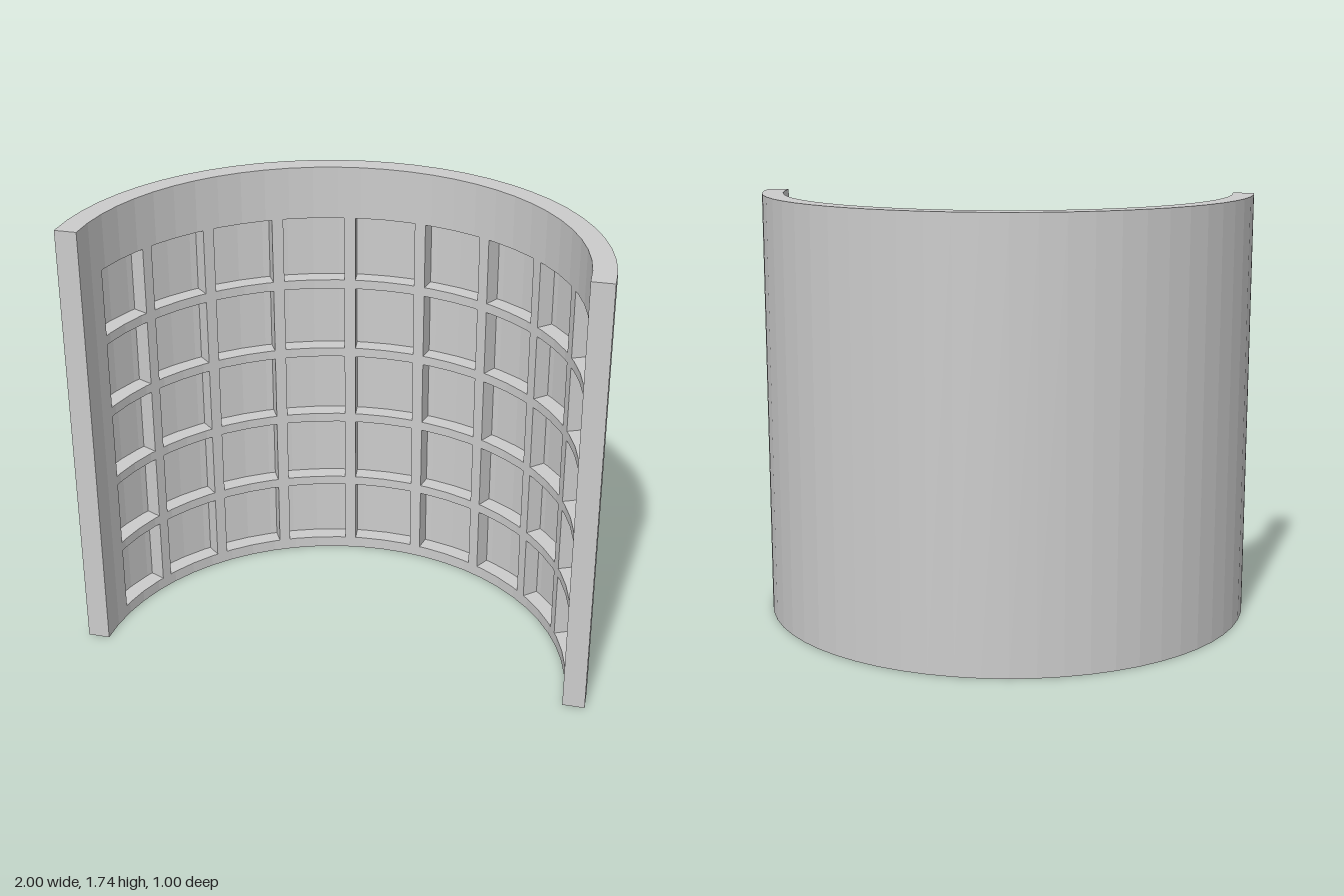
import * as THREE from 'three';

const OUTER = 1, INNER = 0.915, FLOOR = 0.981, HEIGHT = 1.74;
const STEP = 6;                                   // degrees per facet
const PITCH = 18, HALF = 7.6;                     // pocket columns, degrees
const ROW_START = 0.047, ROW_PITCH = 0.304, ROW_HEIGHT = 0.266;
const rad = THREE.MathUtils.degToRad;

// Point on the faceted half ring; angle 0 is the middle of the back, +90 the +x end
function point(r, angle, y) {
  const i = Math.min(Math.floor((angle + 90) / STEP), 180 / STEP - 1);
  const middle = -90 + (i + 0.5) * STEP;
  const d = r * Math.cos(rad(STEP / 2)) / Math.cos(rad(angle - middle));
  return [d * Math.sin(rad(angle)), y, 0.5 - d * Math.cos(rad(angle))];
}

// Collects quads whose corners are [radius, angle, y], counter-clockwise from outside
function part(name, material, fill) {
  const positions = [];
  fill((corners, reverse = false) => {
    const p = corners.map((c) => point(...c));
    if (reverse) p.reverse();
    for (const k of [0, 1, 2, 0, 2, 3]) positions.push(...p[k]);
  });
  const geometry = new THREE.BufferGeometry();
  geometry.setAttribute('position', new THREE.Float32BufferAttribute(positions, 3));
  geometry.computeVertexNormals();
  const mesh = new THREE.Mesh(geometry, material);
  mesh.name = name;
  return mesh;
}

// Quad builders: upright along the arc, level across the thickness, radial
const arcQuad = (r, a0, a1, y0, y1) => [[r, a0, y0], [r, a1, y0], [r, a1, y1], [r, a0, y1]];
const levelQuad = (r0, r1, a0, a1, y) => [[r0, a0, y], [r0, a1, y], [r1, a1, y], [r1, a0, y]];
const radialQuad = (r0, r1, a, y0, y1) => [[r0, a, y0], [r1, a, y0], [r1, a, y1], [r0, a, y1]];

export function createModel() {
  const group = new THREE.Group();
  group.name = 'cofferedNiche';
  const material = new THREE.MeshStandardMaterial({ color: 0xcccccc, flatShading: true });

  const columns = [];
  for (let c = -4; c <= 4; c++) columns.push([c * PITCH - HALF, c * PITCH + HALF]);
  const rows = [];
  for (let r = 0; r < 5; r++) {
    const y = ROW_START + r * ROW_PITCH;
    rows.push([y, y + ROW_HEIGHT]);
  }

  // Grid lines: facet edges plus pocket edges
  const facets = [];
  for (let a = -90; a <= 90; a += STEP) facets.push(a);
  const angles = [...facets, ...columns.flat()].sort((a, b) => a - b);
  const heights = [0, ...rows.flat(), HEIGHT];
  const inside = (list, v) => list.some(([lo, hi]) => v > lo && v < hi);

  // Lattice face and sunken pocket floors
  const eachCell = (wanted, visit) => {
    for (let i = 0; i < angles.length - 1; i++) {
      for (let j = 0; j < heights.length - 1; j++) {
        const [a0, a1, y0, y1] = [angles[i], angles[i + 1], heights[j], heights[j + 1]];
        const pocket = inside(columns, (a0 + a1) / 2) && inside(rows, (y0 + y1) / 2);
        if (pocket === wanted) visit(a0, a1, y0, y1);
      }
    }
  };
  group.add(part('innerLattice', material, (quad) => {
    eachCell(false, (...cell) => quad(arcQuad(INNER, ...cell)));
  }));
  group.add(part('pocketFloors', material, (quad) => {
    eachCell(true, (...cell) => quad(arcQuad(FLOOR, ...cell)));
  }));

  // Ledges and cheeks around every pocket
  group.add(part('pocketSides', material, (quad) => {
    eachCell(true, (a0, a1, y0, y1) => {
      quad(levelQuad(INNER, FLOOR, a0, a1, y0));
      quad(levelQuad(INNER, FLOOR, a0, a1, y1), true);
    });
    for (const [a0, a1] of columns) {
      for (const [y0, y1] of rows) {
        quad(radialQuad(INNER, FLOOR, a0, y0, y1));
        quad(radialQuad(INNER, FLOOR, a1, y0, y1), true);
      }
    }
  }));

  // Plain faceted outside
  group.add(part('outerWall', material, (quad) => {
    for (let i = 0; i < facets.length - 1; i++) {
      quad(arcQuad(OUTER, facets[i], facets[i + 1], 0, HEIGHT), true);
    }
  }));

  // Top and bottom rims and the two front ends
  group.add(part('rimsAndEnds', material, (quad) => {
    for (let i = 0; i < facets.length - 1; i++) {
      quad(levelQuad(INNER, OUTER, facets[i], facets[i + 1], HEIGHT));
      quad(levelQuad(INNER, OUTER, facets[i], facets[i + 1], 0), true);
    }
    quad(radialQuad(INNER, OUTER, 90, 0, HEIGHT));
    quad(radialQuad(INNER, OUTER, -90, 0, HEIGHT), true);
  }));

  return group;
}
